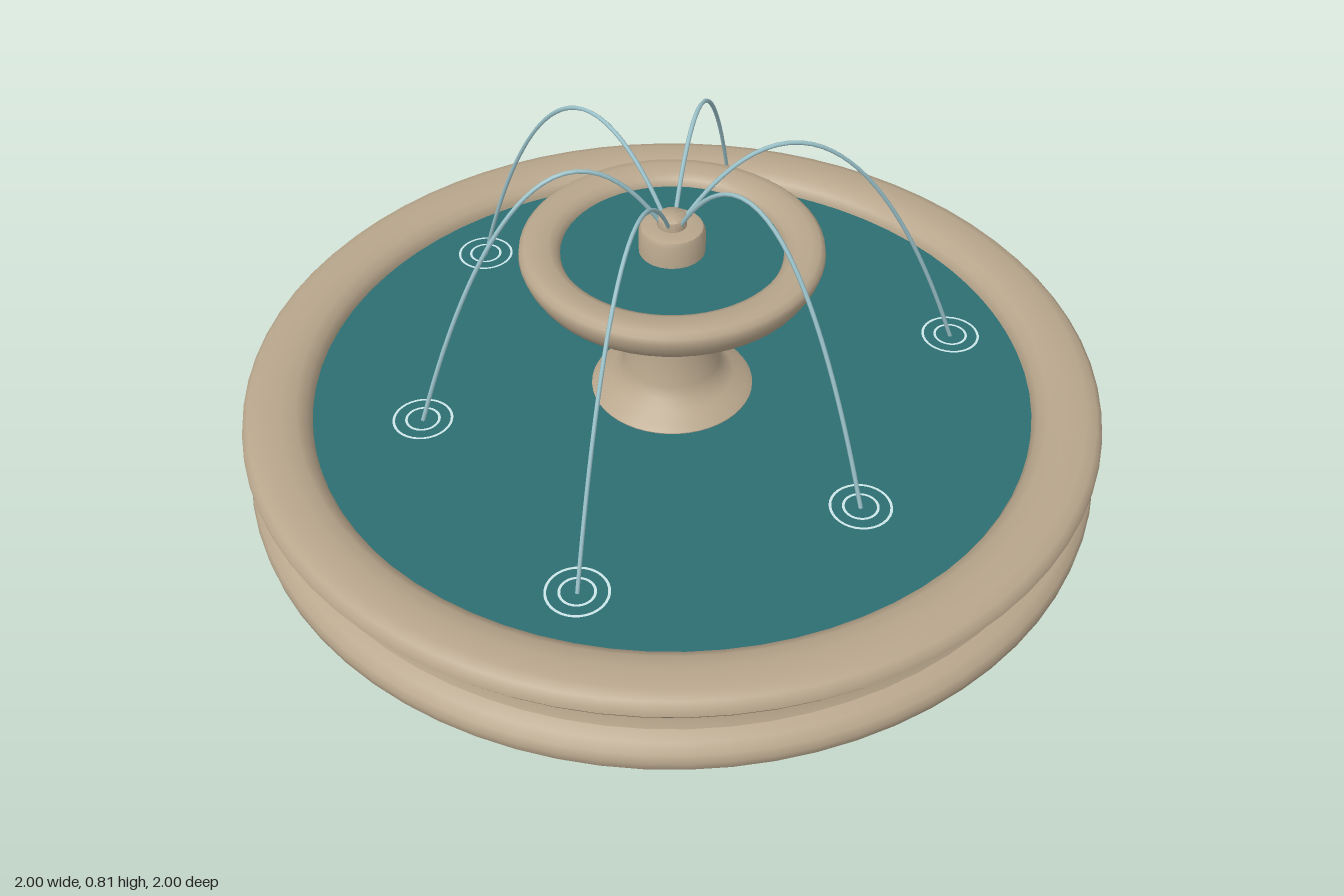
import * as THREE from 'three';
import { toCreasedNormals } from 'three/addons/utils/BufferGeometryUtils.js';

const WATER_Y = 0.185;
const BOWL_WATER_Y = 0.57;

export function createModel() {
  const fountain = new THREE.Group();
  fountain.name = 'fountain';

  const stone = new THREE.MeshStandardMaterial({ color: 0xb8a68c });
  stone.name = 'sandstone';
  const water = new THREE.MeshStandardMaterial({ color: 0x2c6e73 });
  water.name = 'pool water';
  const jetWater = new THREE.MeshStandardMaterial({ color: 0x9cc4cc });
  jetWater.name = 'jet water';
  const foam = new THREE.MeshStandardMaterial({ color: 0xcfe8ea });
  foam.name = 'ripple foam';

  const add = (name, geometry, material, parent = fountain) => {
    const mesh = new THREE.Mesh(geometry, material);
    mesh.name = name;
    parent.add(mesh);
    return mesh;
  };

  // Turned stone part: profile runs from the bottom, up the outside, then inward
  const turned = (name, profile, segments) => {
    const points = profile.map(([r, y]) => new THREE.Vector2(r, y));
    const geometry = new THREE.LatheGeometry(points, segments);
    return add(name, toCreasedNormals(geometry, 0.8), stone);
  };

  // Flat disc of water
  const pool = (name, radius, y) => {
    const geometry = new THREE.CircleGeometry(radius, 64).rotateX(-Math.PI / 2);
    add(name, geometry, water).position.y = y;
  };

  // Large basin with a grooved side and a rounded rim
  turned('basin', [
    [0, 0], [0.92, 0], [0.96, 0.006], [0.985, 0.015], [0.997, 0.03], [1, 0.05],
    [0.995, 0.07], [0.975, 0.085], [0.95, 0.095], [0.942, 0.115], [0.94, 0.14],
    [0.947, 0.16], [0.965, 0.17], [0.988, 0.178], [1, 0.195], [0.997, 0.21],
    [0.985, 0.222], [0.96, 0.23], [0.91, 0.23], [0.875, 0.224], [0.852, 0.21],
    [0.842, 0.19], [0.84, 0.15],
  ], 72);
  pool('basinWater', 0.842, WATER_Y);

  // Pedestal with a flared foot and a moulded cap
  turned('pedestal', [
    [0.19, 0.17], [0.19, 0.187], [0.175, 0.2], [0.145, 0.215], [0.125, 0.232],
    [0.113, 0.26], [0.105, 0.32], [0.097, 0.4], [0.097, 0.43], [0.108, 0.45],
    [0.135, 0.462], [0.148, 0.472], [0.15, 0.495],
  ], 48);

  // Upper bowl
  turned('upperBowl', [
    [0, 0.483], [0.15, 0.485], [0.23, 0.494], [0.29, 0.505], [0.32, 0.522],
    [0.335, 0.547], [0.343, 0.57], [0.341, 0.585], [0.33, 0.594], [0.31, 0.597],
    [0.275, 0.594], [0.258, 0.585], [0.25, 0.57], [0.248, 0.55],
  ], 56);
  pool('upperBowlWater', 0.252, BOWL_WATER_Y);

  // Nozzle block
  turned('nozzle', [
    [0.075, 0.55], [0.075, 0.622], [0.07, 0.633], [0.058, 0.637], [0.033, 0.637],
    [0.033, 0.66], [0.028, 0.665], [0, 0.665],
  ], 24);

  // Six arcing jets of alternating reach, each landing in a pair of ripples
  const startR = 0.025, startY = 0.645, apexY = 0.81;
  const rise = Math.sqrt(apexY - startY), fall = Math.sqrt(apexY - WATER_Y);
  const apexT = rise / (rise + fall);
  for (let i = 0; i < 6; i++) {
    const reach = i % 2 ? 0.702 : 0.592;
    const angle = 0.75 + i * Math.PI / 3;
    const c = Math.cos(angle), s = Math.sin(angle);

    const path = [];
    for (let k = 0; k <= 16; k++) {
      const t = k / 16;
      const r = startR + (reach - startR) * t;
      const y = apexY - ((rise + fall) * (t - apexT)) ** 2;
      path.push(new THREE.Vector3(r * c, y, r * s));
    }
    const curve = new THREE.CatmullRomCurve3(path);
    add('waterJet', new THREE.TubeGeometry(curve, 40, 0.005, 6), jetWater);

    const ripples = new THREE.Group();
    ripples.name = 'ripples';
    ripples.position.set(reach * c, WATER_Y + 0.004, reach * s);
    for (const radius of [0.038, 0.067]) {
      const ring = new THREE.RingGeometry(radius - 0.003, radius + 0.003, 32);
      add('rippleRing', ring.rotateX(-Math.PI / 2), foam, ripples);
    }
    fountain.add(ripples);
  }

  return fountain;
}
